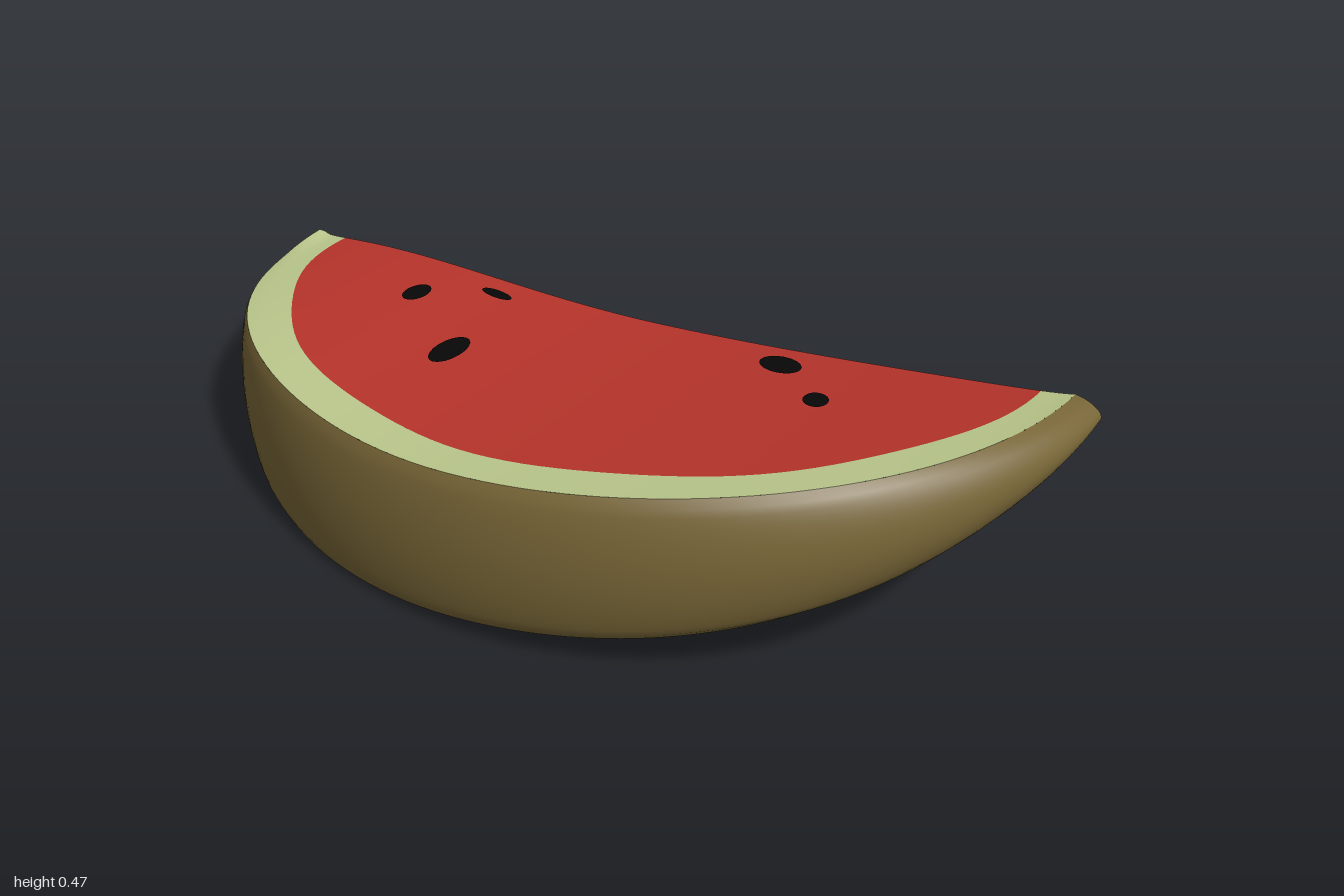
import * as THREE from 'three';

const mat = (name, color, extra = {}) => {
  const m = new THREE.MeshStandardMaterial({ color, ...extra });
  m.name = name;
  return m;
};

const RIM = 0.965;    // mean radius where the cut faces meet the rind
const DEPTH = 0.84;   // front-to-back radius
const chordZ = (x) => -0.41 + 0.014 * x;   // straight back edge
const lerp = THREE.MathUtils.lerp;

// Height of the upper or lower cut face at (x, z)
function height(x, z, upper) {
  const a = THREE.MathUtils.clamp(x / RIM, -1, 1);
  const b = Math.max(0, (z - chordZ(x)) / (DEPTH * RIM));
  const q = 1 - a * a;
  const w = Math.min(1, b / Math.sqrt(Math.max(q, 1e-6)));
  const bend = a * a * q;   // strongest towards the tips
  return upper
    ? 0.375 + 0.105 * a + (a < 0 ? 0.12 : 0.03) * bend - 0.055 * Math.sqrt(q) * (1 - w)
    : 0.28 + 0.125 * a - 0.25 * b - (a > 0 ? 0.06 : 0) * bend
      - 0.018 * q * (1 - w) - 0.03 * q * Math.sin(Math.PI * w);
}

// Smooth grid surface from a rule fn(u, v) -> [x, y, z]
function surface(nu, nv, fn, flip) {
  const pos = [], idx = [];
  for (let i = 0; i <= nu; i++)
    for (let j = 0; j <= nv; j++) pos.push(...fn(i / nu, j / nv));
  for (let i = 0; i < nu; i++)
    for (let j = 0; j < nv; j++) {
      const a = i * (nv + 1) + j, b = a + nv + 1;
      if (flip) idx.push(a, b + 1, b, a, a + 1, b + 1);
      else idx.push(a, b, b + 1, a, b + 1, a + 1);
    }
  const g = new THREE.BufferGeometry();
  g.setAttribute('position', new THREE.Float32BufferAttribute(pos, 3));
  g.setIndex(idx);
  g.computeVertexNormals();
  return g;
}

// Point on the plan outline at a given radius and angle
const plan = (r, t) => {
  const x = r * Math.cos(t);
  return [x, chordZ(x) + r * DEPTH * Math.sin(t)];
};
const fleshRadius = (t) =>
  0.887 - 0.04 * Math.sin(t) - 0.015 * Math.cos(t) + 0.005 * Math.sin(9 * t);
const rimRadius = (t) => 0.962 - 0.02 * Math.cos(t);
const rindRadius = (t, v) =>
  lerp(rimRadius(t), 1, Math.pow(Math.max(0, Math.sin(Math.PI * v)), 0.6));

export function createModel() {
  const model = new THREE.Group();
  model.name = 'melonSlice';
  const red = mat('fleshRed', 0xba352c);
  const pale = mat('paleGreen', 0xbecb8e);
  const brown = mat('rindOlive', 0x776536);
  const black = mat('seedBlack', 0x080808, { side: THREE.DoubleSide });
  const add = (name, geometry, material) => {
    const m = new THREE.Mesh(geometry, material);
    m.name = name;
    model.add(m);
  };

  // Cut faces: red flesh and pale inner rind
  for (const upper of [true, false]) {
    const side = upper ? 'upper' : 'lower';
    const inner = (t) => fleshRadius(t) + (upper ? 0 : 0.02 * Math.sin(t));
    const face = (r, t) => {
      const [x, z] = plan(r, t);
      return [x, height(x, z, upper), z];
    };
    add(side + 'Flesh', surface(30, 72, (u, v) =>
      face(u * inner(v * Math.PI), v * Math.PI), upper), red);
    add(side + 'PaleRim', surface(5, 72, (u, v) =>
      face(lerp(inner(v * Math.PI), rimRadius(v * Math.PI), u), v * Math.PI), upper), pale);
  }

  // Bulging outer rind
  add('rind', surface(80, 20, (u, v) => {
    const t = u * Math.PI;
    const [rx, rz] = plan(rimRadius(t), t);
    const [x, z] = plan(rindRadius(t, v), t);
    return [x, lerp(height(rx, rz, false), height(rx, rz, true), v), z];
  }, true), brown);

  // Narrow rounded flesh edge along the back
  const backPoint = (x, v, bulge) => {
    const z = chordZ(x);
    return [x, lerp(height(x, z, false), height(x, z, true), v),
      z - bulge * Math.sin(Math.PI * v)];
  };
  add('backFleshEdge', surface(60, 8, (u, v) =>
    backPoint(lerp(-fleshRadius(Math.PI), fleshRadius(0), u), v, 0.01), true), red);

  // Rind caps at both tips
  for (const s of [1, -1]) {
    const t = s > 0 ? 0 : Math.PI;
    add(s > 0 ? 'leftTip' : 'rightTip', surface(5, 20, (u, v) =>
      backPoint(s * lerp(fleshRadius(t), rindRadius(t, v), u), v, 0.01 * (1 - u)), s > 0), brown);
  }

  // Seeds: x, z, half length, half width, turn
  const seeds = {
    upper: [
      [-0.55, -0.24, 0.045, 0.027, 1.65], [-0.40, -0.34, 0.043, 0.017, -0.15],
      [-0.32, -0.05, 0.068, 0.033, 1.65], [0.335, -0.32, 0.054, 0.036, -0.4],
      [0.485, -0.19, 0.036, 0.026, -0.9]],
    lower: [
      [0.56, -0.27, 0.048, 0.036, 0.6], [0.375, -0.06, 0.03, 0.025, 1.2],
      [0.25, -0.06, 0.062, 0.032, -1.1], [-0.16, 0.075, 0.055, 0.028, -1.4],
      [-0.345, -0.315, 0.042, 0.028, 0.3], [-0.56, -0.233, 0.05, 0.03, -1.4]],
  };
  for (const side of ['upper', 'lower'])
    seeds[side].forEach(([cx, cz, a, b, turn], i) => {
      const up = side === 'upper';
      const g = new THREE.CircleGeometry(1, 18);
      g.scale(a, b, 1);
      g.rotateZ(turn);
      const p = g.attributes.position;
      for (let k = 0; k < p.count; k++) {
        const x = cx + p.getX(k), z = cz + (up ? -1 : 1) * p.getY(k);
        p.setXYZ(k, x, height(x, z, up) + (up ? 0.004 : -0.004), z);
      }
      g.computeVertexNormals();
      add(side + 'Seed' + (i + 1), g, black);
    });
  return model;
}
